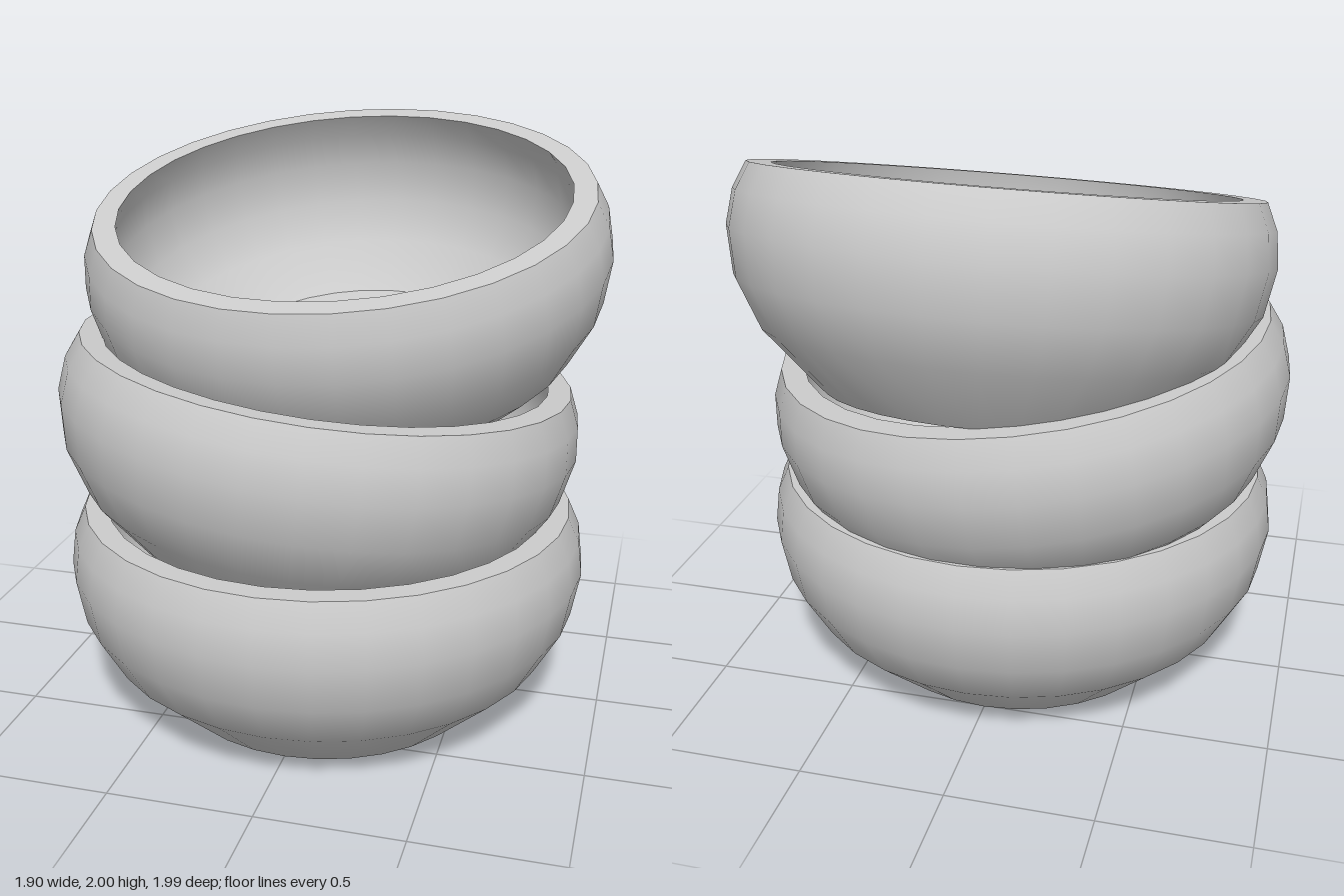
import * as THREE from 'three';
import { toCreasedNormals } from 'three/addons/utils/BufferGeometryUtils.js';

// Closed bowl profile: underside, outer wall, flat rim, inner wall, floor
const PROFILE = [
  [0, 0], [0.575, 0], [0.8, 0.21], [0.89, 0.37], [0.92, 0.53], [0.905, 0.65], [0.865, 0.74],
  [0.785, 0.74], [0.82, 0.65], [0.835, 0.53], [0.805, 0.38], [0.72, 0.24], [0.55, 0.1], [0, 0.1],
];

// Each bowl: centre of its base and the direction its opening faces
const BOWLS = [
  { name: 'bottomBowl', base: [0, 0, 0.07], axis: [0, 1, 0] },
  { name: 'middleBowl', base: [-0.1, 0.52, 0.065], axis: [0.116, 0.991, -0.057] },
  { name: 'topBowl', base: [0.042, 1.08, -0.217], axis: [-0.023, 0.972, 0.233] },
];

export function createModel() {
  const group = new THREE.Group();
  group.name = 'bowlStack';
  const material = new THREE.MeshStandardMaterial({ color: 0xcccccc });
  const points = PROFILE.map(([r, y]) => new THREE.Vector2(r, y));
  // Smooth walls, sharp rim and base edges
  const geometry = toCreasedNormals(new THREE.LatheGeometry(points, 32), 0.65);
  const up = new THREE.Vector3(0, 1, 0);

  for (const { name, base, axis } of BOWLS) {
    const bowl = new THREE.Mesh(geometry, material);
    bowl.name = name;
    bowl.position.set(...base);
    bowl.quaternion.setFromUnitVectors(up, new THREE.Vector3(...axis).normalize());
    group.add(bowl);
  }
  return group;
}
